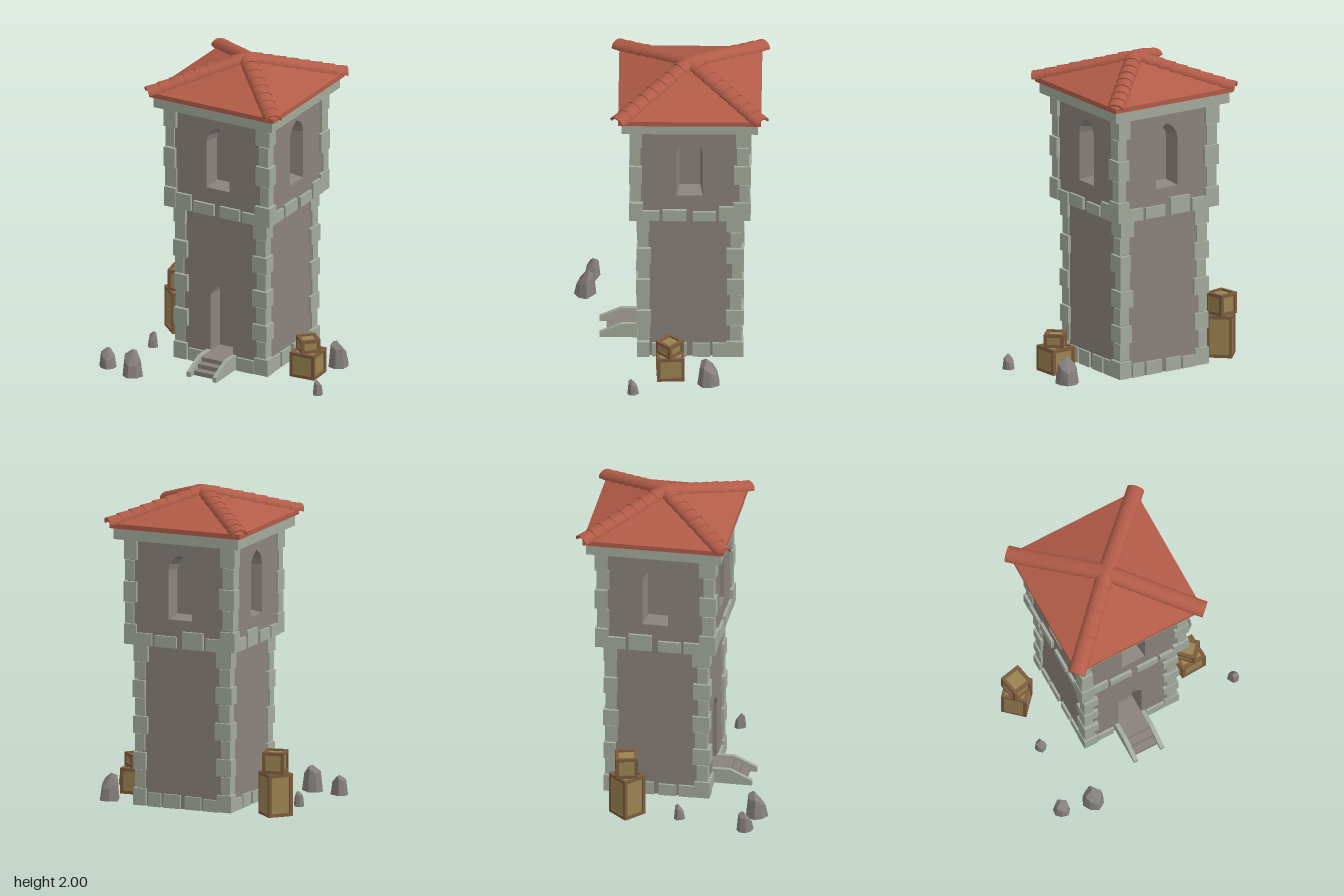
import * as THREE from 'three';
import { ConvexGeometry } from 'three/addons/geometries/ConvexGeometry.js';

const paint = (name, color, side = THREE.FrontSide) =>
  new THREE.MeshStandardMaterial({ name, color, side, flatShading: true });

export function createModel() {
  const wallMat = paint('wall grey', 0x8a827c, THREE.DoubleSide);
  const trimMat = paint('trim stone', 0xa3ab9c);
  const roofMat = paint('roof red', 0xb25c48);
  const frameMat = paint('crate frame brown', 0x7d5c3e);
  const boardMat = paint('crate board tan', 0x9a8450);
  const rockMat = paint('rock grey', 0x86807d);

  let seed = 7;
  const rand = () => (seed = (seed * 16807) % 2147483647) / 2147483647;
  const jitter = (a) => (rand() - 0.5) * 2 * a;

  const model = new THREE.Group();
  const add = (parent, name, geo, mat, x = 0, y = 0, z = 0) => {
    const m = new THREE.Mesh(geo, mat);
    m.name = name;
    m.position.set(x, y, z);
    parent.add(m);
    return m;
  };
  const box = (parent, name, mat, w, h, d, x, y, z) =>
    add(parent, name, new THREE.BoxGeometry(w, h, d), mat, x, y, z);
  const group = (parent, name, x = 0, y = 0, z = 0, ry = 0) => {
    const g = new THREE.Group();
    g.name = name;
    g.position.set(x, y, z);
    g.rotation.y = ry;
    parent.add(g);
    return g;
  };

  const tower = group(model, 'tower', -0.025, 0, -0.115);

  // Pointed arch outline: half width w, from y0 up to spring and tip
  const arch = (w, y0, spring, tip) => {
    const h = tip - spring;
    const side = [[w, y0], [w, spring], [w * 0.88, spring + h * 0.4], [w * 0.55, spring + h * 0.76]];
    return [...side, [0, tip], ...side.map(([x, y]) => [-x, y]).reverse()]
      .map(([x, y]) => new THREE.Vector2(x, y));
  };

  // Wall face, with an optional recess running from the outer to the inner outline
  const wallFace = (parent, half, y0, y1, outer, inner, depth) => {
    const shape = new THREE.Shape([[-half, y0], [half, y0], [half, y1], [-half, y1]]
      .map(([x, y]) => new THREE.Vector2(x, y)));
    if (outer) {
      shape.holes.push(new THREE.Path(outer));
      const pos = [], idx = [], n = outer.length;
      for (let i = 0; i < n; i++) {
        pos.push(outer[i].x, outer[i].y, half, inner[i].x, inner[i].y, half - depth);
        const a = 2 * i, b = 2 * ((i + 1) % n);
        idx.push(a, b, a + 1, b, b + 1, a + 1);
      }
      const g = new THREE.BufferGeometry();
      g.setAttribute('position', new THREE.Float32BufferAttribute(pos, 3));
      g.setIndex(idx);
      g.computeVertexNormals();
      add(parent, 'recessSides', g, wallMat);
      add(parent, 'recessBack', new THREE.ShapeGeometry(new THREE.Shape(inner)), wallMat, 0, 0, half - depth);
    }
    add(parent, 'wallFace', new THREE.ShapeGeometry(shape), wallMat, 0, 0, half);
  };

  // Corner stones stacked in alternating courses
  const quoins = (parent, y0, y1, courses, outer, wall) => {
    const h = (y1 - y0) / courses;
    for (let i = 0; i < courses; i++) {
      const long = i % 2 === 0;
      const ox = outer - (long ? 0 : 0.012) - rand() * 0.006;
      const oz = outer - (long ? 0.004 : 0.01) - rand() * 0.006;
      const sx = (long ? 0.1 : 0.068) + jitter(0.008), sz = (long ? 0.085 : 0.07) + jitter(0.012);
      box(parent, 'cornerStone', trimMat, sx, h - 0.006, sz, ox - sx / 2, y0 + h * (i + 0.5), oz - sz / 2);
    }
  };

  const doorOutline = arch(0.08, 0.115, 0.485, 0.56);
  const windowOuter = arch(0.08, 1.215, 1.52, 1.62);
  const windowInner = arch(0.063, 1.235, 1.515, 1.592);
  const stones = [[-0.295, -0.185], [-0.165, -0.02], [0.02, 0.16], [0.178, 0.3]];
  const beltHeights = [0.105, 0.075, 0.075, 0.07];

  for (let k = 0; k < 4; k++) {
    const side = group(tower, 'towerSide', 0, 0, 0, k * Math.PI / 2);
    wallFace(side, 0.308, 0.03, 1.04, k === 0 ? doorOutline : null, doorOutline, 0.12);
    wallFace(side, 0.352, 1.04, 1.7, windowOuter, windowInner, 0.1);
    quoins(side, 0.03, 1.04, 9, 0.333, 0.308);
    quoins(side, 1.04, 1.7, 5, 0.378, 0.352);
    // Belt stones under the upper storey and base stones at the foot
    stones.forEach(([a, b], i) => {
      const h = beltHeights[(i + k) % 4] + jitter(0.005);
      box(side, 'beltStone', trimMat, b - a, h, 0.06, (a + b) / 2, 1.04 + h / 2, 0.34);
      if (k === 0 && (i === 1 || i === 2)) return;
      const bh = 0.085 + jitter(0.012), s = k === 0 ? 0.72 : 0.78;
      box(side, 'baseStone', trimMat, (b - a) * (k === 0 ? 1 : s), bh, 0.05, (a + b) / 2 * s, 0.03 + bh / 2, 0.298);
    });
  }
  box(tower, 'towerFloor', wallMat, 0.616, 0.008, 0.616, 0, 0.034, 0);
  box(tower, 'upperStoreyFloor', trimMat, 0.704, 0.01, 0.704, 0, 1.045, 0);
  box(tower, 'cornice', trimMat, 0.836, 0.07, 0.836, 0, 1.735, 0);

  // Entrance stairs between two sloping side walls
  const stairs = group(tower, 'stairs');
  [0.512, 0.465, 0.418].forEach((z, i) =>
    box(stairs, 'step', wallMat, 0.16, 0.0283 * (i + 1), z - 0.3, 0, 0.03 + 0.0283 * (i + 1) / 2, (z + 0.3) / 2));
  const ramp = new THREE.Shape([[0.3, 0.03], [0.555, 0.03], [0.555, 0.062], [0.42, 0.125], [0.3, 0.125]]
    .map(([x, y]) => new THREE.Vector2(x, y)));
  for (const x of [-0.078, 0.104]) {
    const m = add(stairs, 'stairWall', new THREE.ExtrudeGeometry(ramp, { depth: 0.026, bevelEnabled: false }), trimMat, x);
    m.rotation.y = -Math.PI / 2;
  }

  // Roof pyramid and its eaves
  const roof = group(tower, 'roof');
  box(roof, 'eaves', roofMat, 0.875, 0.03, 0.875, 0, 1.785, 0);
  const pyramid = new THREE.ConeGeometry(0.4375 * Math.SQRT2, 0.165, 4).toNonIndexed();
  pyramid.computeVertexNormals();
  add(roof, 'roofSlopes', pyramid, roofMat, 0, 1.8825, 0).rotation.y = Math.PI / 4;

  // Hips covered with overlapping half-round tiles
  const ring = new THREE.Shape();
  ring.absellipse(0, 0, 0.054, 0.042, 0, Math.PI, false);
  ring.lineTo(-0.041, 0);
  ring.absellipse(0, 0, 0.041, 0.03, Math.PI, 0, true);
  ring.closePath();
  const tileGeo = new THREE.ExtrudeGeometry(ring, { depth: 0.094, bevelEnabled: false, curveSegments: 8 });
  for (let k = 0; k < 4; k++) {
    const hip = group(roof, 'hip', 0, 0, 0, Math.PI / 4 + k * Math.PI / 2);
    for (let i = 0; i < 8; i++) {
      const d = i * 0.0768;
      const tile = add(hip, 'hipTile', tileGeo, roofMat, 0, 1.956 - d * 0.267, d);
      tile.rotation.x = Math.atan(0.267) - 0.09 + jitter(0.02);
    }
  }
  add(roof, 'apexTile', new THREE.ConeGeometry(0.05, 0.03, 8), roofMat, 0, 1.985, 0);

  // Crates: recessed boards inside a frame of twelve bars
  const crate = (x, y, z, w, h, ry) => {
    const c = group(model, 'crate', x, y, z, ry);
    const t = 0.02, o = (w - t) / 2;
    box(c, 'boards', boardMat, w - 0.022, h - 0.022, w - 0.022, 0, h / 2, 0);
    for (const s of [-1, 1]) {
      for (const u of [-1, 1]) box(c, 'post', frameMat, t, h, t, s * o, h / 2, u * o);
      for (const v of [t / 2, h - t / 2]) {
        box(c, 'railX', frameMat, w - 2 * t, t, t, 0, v, s * o);
        box(c, 'railZ', frameMat, t, t, w - 2 * t, s * o, v, 0);
      }
    }
  };
  crate(-0.57, 0.01, -0.255, 0.16, 0.265, 0.84);
  crate(-0.57, 0.275, -0.26, 0.135, 0.135, 0.2);
  crate(0.475, 0.015, 0.002, 0.168, 0.16, 0.05);
  crate(0.478, 0.175, 0.005, 0.122, 0.085, 0.8);

  // Boulders: tapered outline with a slanted, split top (x, z, shoulder height)
  const outline = [[-0.5, -0.02, 0.78], [-0.36, -0.36, 0.72], [0, -0.48, 0.88],
    [0.5, -0.05, 0.66], [0.36, 0.3, 0.5], [0.02, 0.5, 0.45], [-0.32, 0.3, 0.6]];
  const rock = (x, z, size, height, ry) => {
    const pts = [new THREE.Vector3(-0.04 * size, height, -0.1 * size), new THREE.Vector3(0.1 * size, height * 0.95, -0.2 * size)];
    for (const [px, pz, t] of outline) {
      pts.push(new THREE.Vector3(px * size, 0.005, pz * size));
      pts.push(new THREE.Vector3(px * size * 0.78, t * height, pz * size * 0.78));
    }
    add(model, 'rock', new ConvexGeometry(pts), rockMat, x, 0, z).rotation.y = ry;
  };
  rock(-0.46, 0.53, 0.14, 0.17, 0);
  rock(-0.657, 0.49, 0.108, 0.13, 0.3);
  rock(-0.578, 0.07, 0.074, 0.1, -0.2);
  rock(0.553, -0.235, 0.145, 0.17, 2.6);
  rock(0.672, 0.228, 0.076, 0.1, 2.8);

  return model;
}
